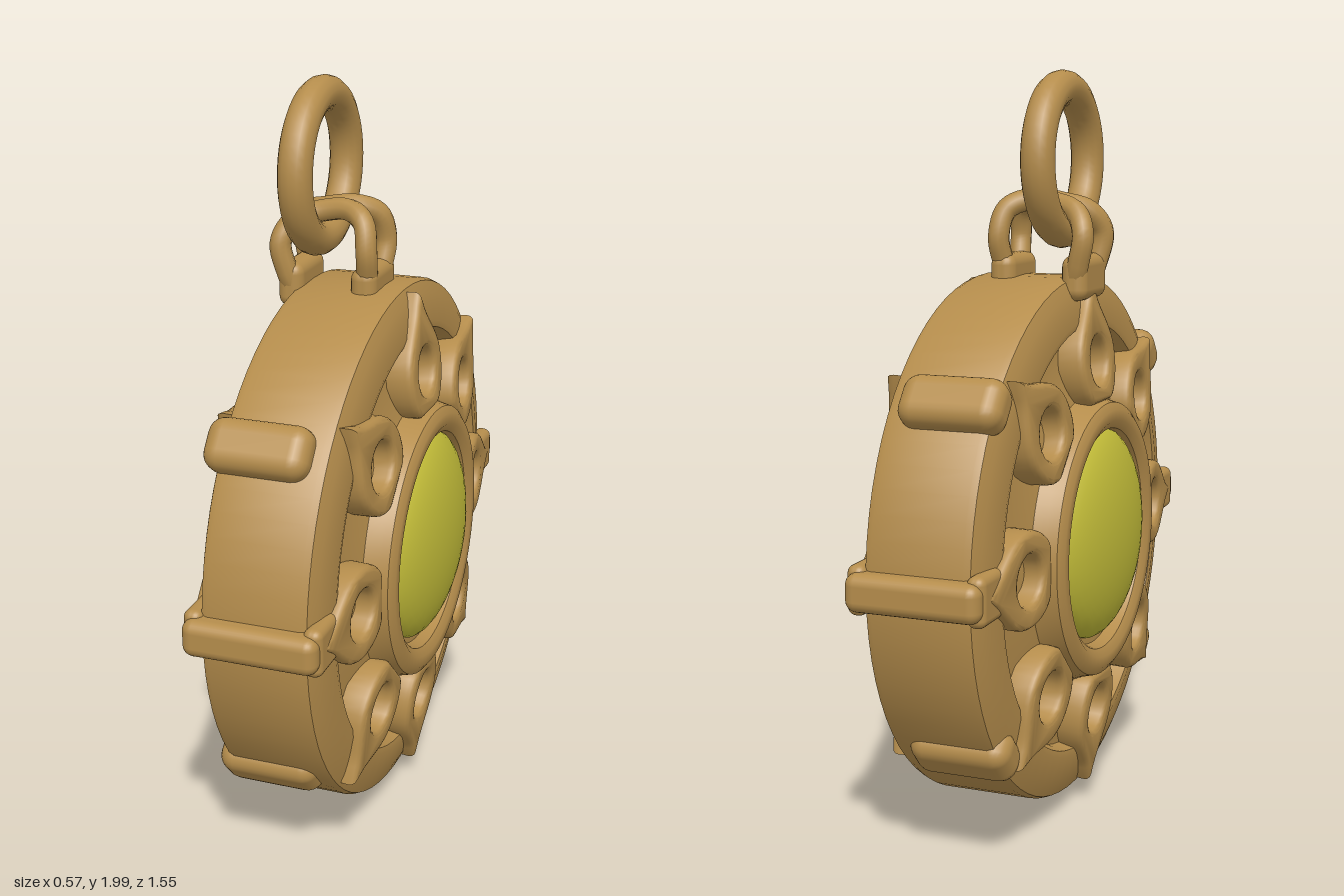
import * as THREE from 'three';
import { toCreasedNormals } from 'three/addons/utils/BufferGeometryUtils.js';
import { RoundedBoxGeometry } from 'three/addons/geometries/RoundedBoxGeometry.js';

const V = (x, y, z) => new THREE.Vector3(x, y, z);

export function createModel() {
  const gold = new THREE.MeshStandardMaterial({ color: 0xb58d4c });
  gold.name = 'aged gold';
  const green = new THREE.MeshStandardMaterial({ color: 0xc0ba38 });
  green.name = 'olive gem';

  const model = new THREE.Group();
  model.name = 'amulet';

  const add = (parent, name, geometry, material = gold) => {
    const mesh = new THREE.Mesh(geometry, material);
    mesh.name = name;
    parent.add(mesh);
    return mesh;
  };

  // Medallion: its axis runs along x and it is slightly flattened in y
  const medallion = new THREE.Group();
  medallion.name = 'medallion';
  medallion.position.set(-0.012, 0.762, 0);
  medallion.scale.y = 0.968;
  model.add(medallion);

  // Turned disc with raised rim, recessed floor and central bezel
  const half = [
    [0.729, 0.12], [0.722, 0.136], [0.69, 0.15], [0.612, 0.168], [0.595, 0.165],
    [0.582, 0.125], [0.5, 0.13], [0.4, 0.16], [0.388, 0.19], [0.38, 0.222],
    [0.36, 0.236], [0.33, 0.236], [0.308, 0.222], [0.298, 0.19], [0, 0.18],
  ];
  const profile = [
    ...half.slice().reverse().map(([r, h]) => new THREE.Vector2(r, -h)),
    ...half.map(([r, h]) => new THREE.Vector2(r, h)),
  ];
  const disc = new THREE.LatheGeometry(profile, 72);
  disc.rotateZ(-Math.PI / 2);
  add(medallion, 'disc', toCreasedNormals(disc, 0.7));

  // Drop-shaped petal with a round eye, pointing outward along local y
  const petal = new THREE.Shape();
  petal.moveTo(0, 0.2);
  petal.bezierCurveTo(-0.025, 0.14, -0.05, 0.13, -0.09, 0.075);
  petal.bezierCurveTo(-0.14, 0.01, -0.1, -0.09, -0.06, -0.1);
  petal.lineTo(0.06, -0.1);
  petal.bezierCurveTo(0.1, -0.09, 0.14, 0.01, 0.09, 0.075);
  petal.bezierCurveTo(0.05, 0.13, 0.025, 0.14, 0, 0.2);
  const eye = new THREE.Path();
  eye.absarc(0, 0, 0.083, 0, Math.PI * 2, true);
  petal.holes.push(eye);
  const petalGeo = toCreasedNormals(new THREE.ExtrudeGeometry(petal, {
    depth: 0.085, bevelEnabled: true, bevelThickness: 0.02, bevelSize: 0.015,
    bevelSegments: 3, curveSegments: 10,
  }), 0.8);
  petalGeo.rotateX(-0.1);
  petalGeo.translate(0, 0.487, 0.098);

  // Domed gem for one face
  const gemGeo = new THREE.SphereGeometry(1, 32, 12, 0, Math.PI * 2, 0, Math.PI / 2);
  gemGeo.scale(0.298, 0.105, 0.298);
  gemGeo.rotateX(Math.PI / 2);
  gemGeo.translate(0, 0.015, 0.181);

  for (const side of [1, -1]) {
    const face = new THREE.Group();
    face.name = side > 0 ? 'leftFace' : 'rightFace';
    face.rotation.y = side * Math.PI / 2;
    medallion.add(face);
    for (let i = 0; i < 8; i++) {
      add(face, 'petal', petalGeo).rotation.z = i * Math.PI / 4;
    }
    add(face, 'gem', gemGeo, green);
  }

  // Rounded studs on the diagonals of the rim
  const studGeo = new RoundedBoxGeometry(0.27, 0.11, 0.14, 3, 0.045);
  for (const [degrees, radius] of [[38, 0.73], [142, 0.73], [-139, 0.7], [-41, 0.7]]) {
    const a = THREE.MathUtils.degToRad(degrees);
    const stud = add(medallion, 'rimStud', studGeo);
    stud.position.set(-0.035, radius * Math.sin(a), radius * Math.cos(a));
    stud.rotation.x = Math.PI / 2 - a;
  }

  // Clasps that wrap over the rim at the front and back
  const claspGeo = new RoundedBoxGeometry(0.35, 0.1, 0.17, 3, 0.03);
  for (const s of [1, -1]) {
    const clasp = add(medallion, 'rimClasp', claspGeo);
    clasp.position.set(0, 0, s * 0.69);
    for (const e of [1, -1]) {
      const end = add(medallion, 'claspEnd', new RoundedBoxGeometry(0.05, 0.13, 0.13, 3, 0.022));
      end.position.set(e * 0.155, 0, s * 0.68);
    }
  }

  // Pointed foot below the rim: a wedge narrowing downward
  const foot = new THREE.CylinderGeometry(0.085, 0.012, 0.13, 12, 3);
  const p = foot.attributes.position;
  for (let i = 0; i < p.count; i++) {
    const t = (p.getY(i) + 0.065) / 0.13;
    p.setX(i, p.getX(i) * (t > 0.2 ? 1.85 : 1));
  }
  foot.computeVertexNormals();
  foot.translate(0, 0.075, 0);
  add(model, 'pointedFoot', foot).position.x = -0.015;

  // Bail: two strands arching through the ring, joined above the rim
  const arch = (s) => [
    V(0.04, 1.5, s * 0.06), V(0.045, 1.57, s * 0.08), V(0.03, 1.64, s * 0.06),
    V(-0.02, 1.665, s * 0.03), V(-0.1, 1.655, s * 0.025), V(-0.16, 1.635, s * 0.05),
    V(-0.19, 1.58, s * 0.08), V(-0.175, 1.5, s * 0.075), V(-0.15, 1.42, s * 0.05),
  ];
  for (const s of [1, -1]) {
    const strand = new THREE.CatmullRomCurve3(arch(s));
    add(model, 'bailStrand', new THREE.TubeGeometry(strand, 48, 0.029, 10));
  }
  for (const x of [0.035, -0.165]) {
    const foot = add(model, 'bailFoot', new RoundedBoxGeometry(0.07, 0.12, 0.19, 3, 0.03));
    foot.position.set(x, 1.465, 0);
  }

  // Hanging ring
  const ring = add(model, 'hangingRing', new THREE.TorusGeometry(0.186, 0.045, 14, 48));
  ring.rotation.y = Math.PI / 2;
  ring.position.set(-0.103, 1.769, 0.008);

  return model;
}
